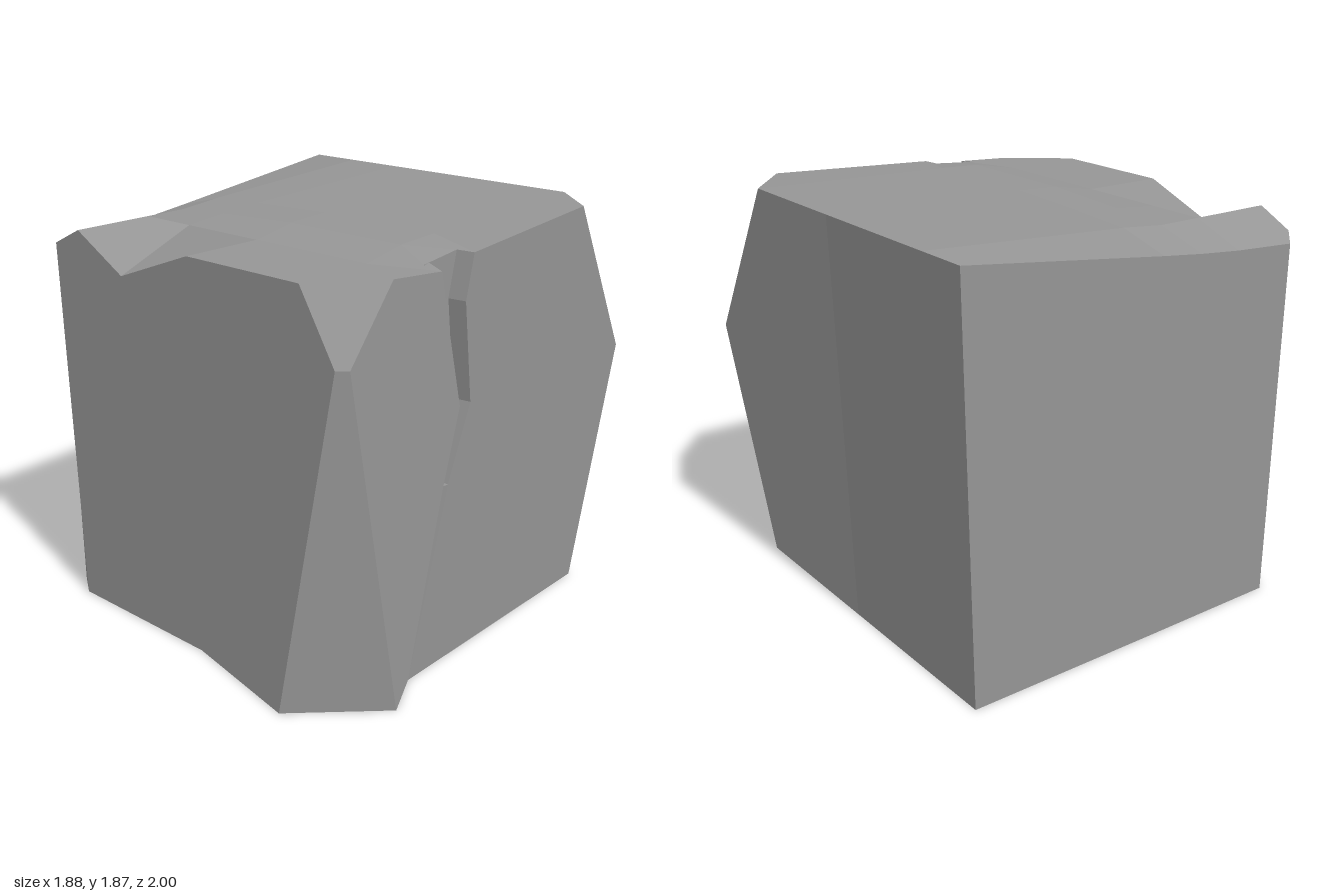
import * as THREE from 'three';

// A four-cornered face as two triangles
const quad = (a, b, c, d) => [[a, b, d], [b, c, d]];

// One face between two upright edges with different numbers of points
function stitch(a, b) {
  const out = [];
  let i = 0;
  let j = 0;
  while (i < a.length - 1 || j < b.length - 1) {
    const ya = i < a.length - 1 ? a[i + 1][1] : Infinity;
    const yb = j < b.length - 1 ? b[j + 1][1] : Infinity;
    if (ya < yb) {
      out.push([a[i], b[j], a[i + 1]]);
      i++;
    } else {
      out.push([a[i], b[j], b[j + 1]]);
      j++;
    }
  }
  return out;
}

// Mesh from faces (lists of triangles); each face is shaded with one average normal
function facetMesh(name, faces, material) {
  const positions = [];
  const normals = [];
  for (const face of faces) {
    const kept = [];
    const normal = new THREE.Vector3();
    for (const tri of face) {
      const [a, b, c] = tri.map((p) => new THREE.Vector3(...p));
      const cross = b.sub(a).cross(c.sub(a));
      if (cross.length() < 1e-6) continue;
      kept.push(...tri);
      normal.add(cross);
    }
    normal.normalize();
    for (const p of kept) {
      positions.push(...p);
      normals.push(...normal.toArray());
    }
  }
  const geometry = new THREE.BufferGeometry();
  geometry.setAttribute('position', new THREE.Float32BufferAttribute(positions, 3));
  geometry.setAttribute('normal', new THREE.Float32BufferAttribute(normals, 3));
  const mesh = new THREE.Mesh(geometry, material);
  mesh.name = name;
  return mesh;
}

export function createModel() {
  const group = new THREE.Group();
  group.name = 'stoneBlock';
  const stone = new THREE.MeshStandardMaterial({ color: 0x969696 });

  // Upright edges of the block, each from the ground to the rim
  const front = [
    [[-0.81, 0, 0.88], [-0.865, 1.71, 0.88]],
    [[-0.7, 0, 0.88], [-0.7, 1.79, 0.88]],
    [[-0.42, 0, 0.88], [-0.42, 1.635, 0.88]],
    [[0, 0, 0.88], [0, 1.79, 0.88]],
    [[0.6, 0, 1], [0.8, 1.49, 0.88], [0.62, 1.79, 0.88]],
  ];
  const frontRight = [[0.94, 0, 0.66], [0.84, 1.49, 0.84], [0.84, 1.79, 0.6]];

  // Crack: outer and inner edge of each wall, parting at y = 0.87
  const foot = [0.83, 0, 0.45];
  const tipFront = [0.88, 0.87, 0.31];
  const tipBack = [0.88, 0.87, 0.28];
  const crack = [
    [foot, tipFront, tipFront, [0.89, 1.2, 0.23], [0.9, 1.63, 0.35], [0.9, 1.79, 0.385]],
    [foot, tipFront, [0.82, 0.87, 0.31], [0.81, 1.2, 0.23], [0.81, 1.63, 0.35], [0.81, 1.8, 0.385]],
    [foot, tipBack, [0.82, 0.87, 0.285], [0.81, 1.2, 0.17], [0.8, 1.63, 0.21], [0.8, 1.82, 0.165]],
    [foot, tipBack, tipBack, [0.89, 1.2, 0.16], [0.88, 1.63, 0.2], [0.88, 1.82, 0.155]],
  ];
  const back = [
    [[0.8, 0, -0.84], [0.92, 1.2, -0.92], [0.84, 1.87, -0.69]],
    [[0.8, 0, -0.84], [0.84, 1.2, -1], [0.6, 1.87, -0.905]],
    [[0, 0, -0.84], [0, 1.87, -0.905]],
    [[-0.92, 0, -0.84], [-0.945, 1.87, -0.905]],
  ];
  const left = [[0.07, 1.745], [0.28, 1.72], [0.49, 1.7], [0.805, 1.68]]
    .map(([z, y]) => [[-0.925, 0, z], [-0.945, y, z]]);
  const columns = [...front, frontRight, ...crack, ...back, ...left];
  const rim = columns.map((c) => c[c.length - 1]);

  // Side faces: edges that bend together give one face per bend
  const sides = [];
  columns.forEach((a, i) => {
    const b = columns[(i + 1) % columns.length];
    if (a.length !== b.length) {
      sides.push(stitch(a, b));
      return;
    }
    for (let k = 0; k < a.length - 1; k++) sides.push(quad(a[k], b[k], b[k + 1], a[k + 1]));
  });
  group.add(facetMesh('sides', sides, stone));

  // Worn top, in rows from the front to the back, dipping at a chip in the front rim
  const row = (start, z, heights, end) => [
    start, ...[-0.7, -0.42, 0, 0.61].map((x, i) => [x, heights[i], z]), end,
  ];
  const middle = [1.79, 1.81, 1.83, 1.83];
  const rows = [
    rim.slice(0, 6),
    row(rim[16], 0.49, [1.79, 1.79, 1.79, 1.79], rim[6]),
    row(rim[15], 0.28, middle, rim[7]),
    row(rim[15], 0.28, middle, rim[8]),
    row(rim[14], 0.07, [1.81, 1.825, 1.84, 1.84], rim[9]),
    [rim[13], [-0.7, 1.87, -0.905], [-0.42, 1.87, -0.905], rim[12], rim[11], rim[10]],
  ];
  const top = [[[rim[0], rim[16], rim[17]]]];
  for (let r = 0; r < rows.length - 1; r++) {
    const [near, far] = [rows[r], rows[r + 1]];
    for (let i = 0; i < 5; i++) top.push(quad(near[i], near[i + 1], far[i + 1], far[i]));
  }
  group.add(facetMesh('top', top, stone));

  // Flat underside
  const underside = columns.map((c, i) => [[0, 0, 0], columns[(i + 1) % columns.length][0], c[0]]);
  group.add(facetMesh('underside', [underside], stone));

  return group;
}
